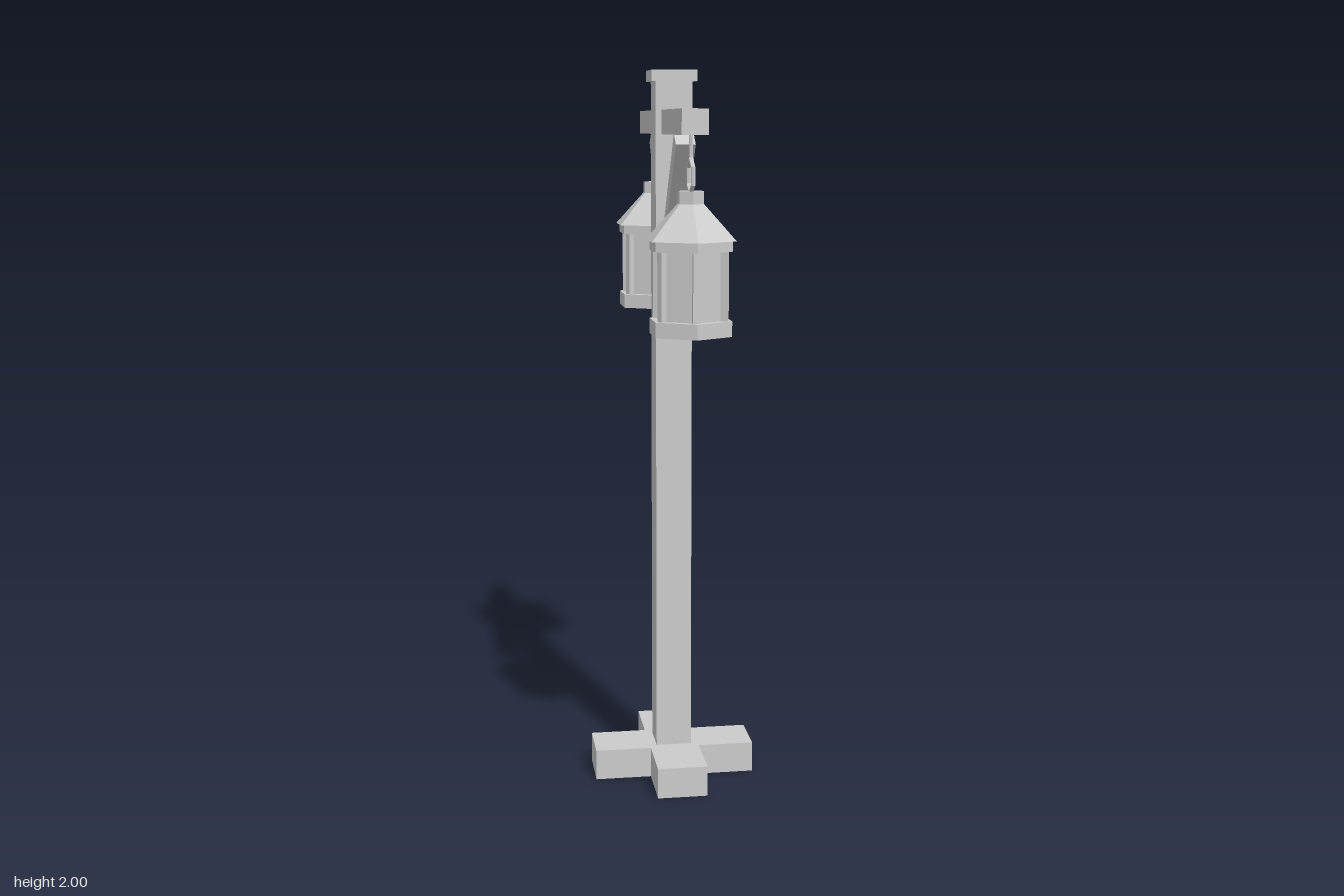
import * as THREE from 'three';

const material = new THREE.MeshStandardMaterial({ color: 0xcccccc, flatShading: true });

function add(parent, name, geometry, x = 0, y = 0, z = 0) {
  const mesh = new THREE.Mesh(geometry, material);
  mesh.name = name;
  mesh.position.set(x, y, z);
  parent.add(mesh);
  return mesh;
}

// Box spanning y0..y1
const box = (parent, name, w, d, y0, y1) =>
  add(parent, name, new THREE.BoxGeometry(w, y1 - y0, d), 0, (y0 + y1) / 2, 0);

// Six-sided prism or frustum spanning y0..y1, corners on the z axis
const hex = (parent, name, rTop, rBottom, y0, y1) =>
  add(parent, name, new THREE.CylinderGeometry(rTop, rBottom, y1 - y0, 6), 0, (y0 + y1) / 2, 0);

function createLantern() {
  const lantern = new THREE.Group();
  lantern.name = 'lantern';
  hex(lantern, 'lanternBase', 0.114, 0.114, 1.323, 1.363);
  hex(lantern, 'glass', 0.09, 0.09, 1.36, 1.545);
  hex(lantern, 'upperBand', 0.114, 0.114, 1.54, 1.566);
  hex(lantern, 'roof', 0.034, 0.125, 1.566, 1.66);
  hex(lantern, 'roofNeck', 0.036, 0.036, 1.655, 1.69);

  // Corner bars of the glass frame
  for (let i = 0; i < 6; i++) {
    const a = (i * Math.PI) / 3;
    const bar = box(lantern, 'cornerBar', 0.018, 0.018, 1.36, 1.545);
    bar.position.x = Math.sin(a) * 0.092;
    bar.position.z = Math.cos(a) * 0.092;
    bar.rotation.y = a;
  }

  // Hanging ring and hook rod
  const ring = new THREE.TorusGeometry(0.043, 0.006, 6, 6);
  ring.rotateZ(Math.PI / 2).rotateY(Math.PI / 2);
  add(lantern, 'hangingRing', ring, 0, 1.728, 0);
  add(lantern, 'hookRod', new THREE.CylinderGeometry(0.005, 0.005, 0.07, 6), 0, 1.803, 0);
  return lantern;
}

export function createModel() {
  const model = new THREE.Group();
  model.name = 'lanternPost';

  // Cross-shaped foot as one solid
  const r = 0.228, h = 0.07;
  const cross = new THREE.Shape([
    [h, r], [-h, r], [-h, h], [-r, h], [-r, -h], [-h, -h],
    [-h, -r], [h, -r], [h, -h], [r, -h], [r, h], [h, h],
  ].map(([x, y]) => new THREE.Vector2(x, y)));
  const foot = new THREE.ExtrudeGeometry(cross, { depth: 0.087, bevelEnabled: false });
  add(model, 'crossFoot', foot.rotateX(-Math.PI / 2));

  // Post, cap and crossbeam
  box(model, 'post', 0.1, 0.1, 0.08, 1.975);
  box(model, 'postCap', 0.124, 0.124, 1.97, 2);
  box(model, 'crossbeam', 0.068, 0.84, 1.83, 1.895);

  // Diagonal braces and lanterns on both arms
  for (const side of [1, -1]) {
    const brace = add(model, 'brace', new THREE.BoxGeometry(0.052, 0.305, 0.046), 0, 1.7, side * 0.151);
    brace.rotation.x = side * Math.atan2(0.19, 0.239);

    const lantern = createLantern();
    lantern.position.z = side * 0.35;
    model.add(lantern);
  }
  return model;
}
